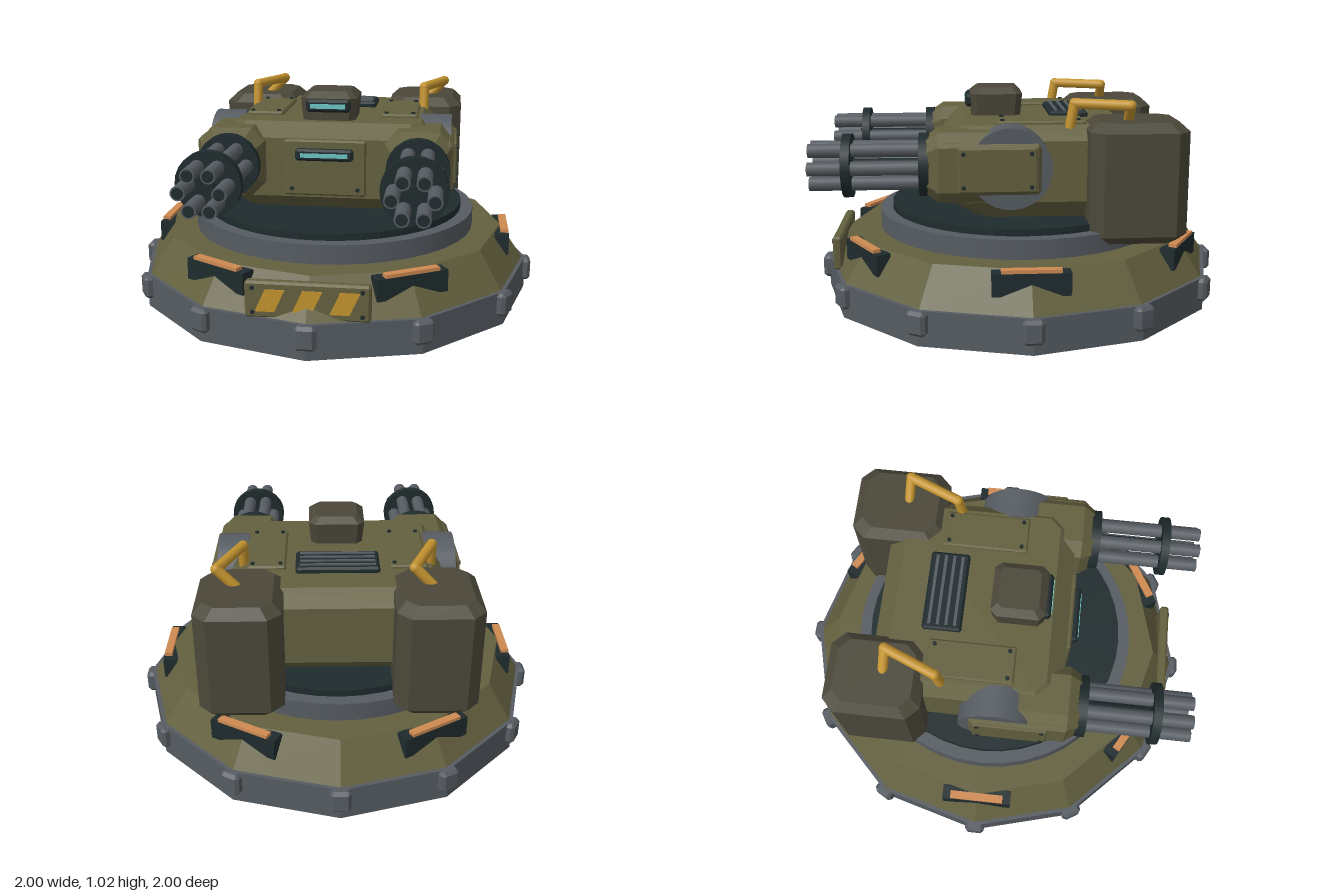
import * as THREE from 'three';
import { ConvexGeometry } from 'three/addons/geometries/ConvexGeometry.js';

const mat = (name, color) => {
  const m = new THREE.MeshStandardMaterial({ color });
  m.name = name;
  return m;
};

// Solid lofted through octagonal rings: [y, x0, x1, z0, z1, corner cut]
function loft(rings) {
  const pts = [];
  for (const [y, x0, x1, z0, z1, c] of rings) {
    for (const [x, z] of [[x0 + c, z0], [x1 - c, z0], [x1, z0 + c], [x1, z1 - c],
      [x1 - c, z1], [x0 + c, z1], [x0, z1 - c], [x0, z0 + c]]) pts.push(new THREE.Vector3(x, y, z));
  }
  return new ConvexGeometry(pts);
}

// Box with every edge bevelled
function bevelBox(w, h, d, c) {
  const pts = [];
  for (const sx of [-1, 1]) for (const sy of [-1, 1]) for (const sz of [-1, 1]) {
    const x = w / 2, y = h / 2, z = d / 2;
    pts.push(new THREE.Vector3(sx * x, sy * (y - c), sz * (z - c)),
      new THREE.Vector3(sx * (x - c), sy * y, sz * (z - c)),
      new THREE.Vector3(sx * (x - c), sy * (y - c), sz * z));
  }
  return new ConvexGeometry(pts);
}

export function createModel() {
  const root = new THREE.Group();
  const olive = mat('olive armour', 0x63603f);
  const drab = mat('dark drab', 0x4b483a);
  const steel = mat('steel', 0x565c62);
  const dark = mat('dark metal', 0x1f2b2d);
  const amber = mat('amber light', 0xcf8a52);
  const yellow = mat('safety yellow', 0xc3932f);
  const cyan = mat('cyan glass', 0x6cc4c4);

  const add = (name, geo, material, x = 0, y = 0, z = 0, parent = root) => {
    const m = new THREE.Mesh(geo, material);
    m.name = name;
    m.position.set(x, y, z);
    parent.add(m);
    return m;
  };
  const box = (w, h, d) => new THREE.BoxGeometry(w, h, d);
  const faceted = (r1, r2, h) => {
    const g = new THREE.CylinderGeometry(r1, r2, h, 12).toNonIndexed();
    g.computeVertexNormals();
    return g;
  };
  const rivet = new THREE.CylinderGeometry(0.01, 0.01, 0.01, 8);
  const rivetZ = rivet.clone().rotateX(Math.PI / 2);
  const rivetX = rivet.clone().rotateZ(Math.PI / 2);

  // Twelve-sided base and turntable
  add('baseRim', faceted(0.975, 0.975, 0.16), steel, 0, 0.08, 0);
  add('baseSkirt', faceted(0.84, 0.957, 0.17), olive, 0, 0.245, 0);
  add('turntableRing', new THREE.CylinderGeometry(0.7, 0.7, 0.09, 40), steel, 0, 0.375, 0);
  add('turntableTop', new THREE.CylinderGeometry(0.64, 0.64, 0.035, 40), dark, 0, 0.435, 0);

  // Lugs on each corner, lamps on every other corner
  const lug = bevelBox(0.095, 0.11, 0.06, 0.015);
  for (let i = 0; i < 12; i++) {
    const arm = new THREE.Group();
    arm.name = 'baseCorner';
    arm.rotation.y = i * Math.PI / 6;
    root.add(arm);
    add('lug', lug, steel, 0, 0.105, 0.97, arm);
    if (i % 2) {
      add('lampBracket', box(0.34, 0.1, 0.07), dark, 0, 0.275, 0.842, arm);
      add('lampBar', box(0.26, 0.022, 0.038), amber, 0, 0.33, 0.856, arm);
    }
  }

  // Hazard plate on the front of the base
  add('hazardPlate', bevelBox(0.54, 0.165, 0.045, 0.01), olive, 0, 0.24, 0.893);
  const stripe = new THREE.Shape([[-0.065, -0.05], [0.02, -0.05], [0.065, 0.05], [-0.02, 0.05]]
    .map(([x, y]) => new THREE.Vector2(x, y)));
  const stripeGeo = new THREE.ExtrudeGeometry(stripe, { depth: 0.006, bevelEnabled: false });
  for (const x of [-0.16, 0, 0.16]) add('hazardStripe', stripeGeo, yellow, x, 0.24, 0.914);
  for (const x of [-0.235, 0.235]) for (const y of [0.185, 0.295]) add('rivet', rivetZ, dark, x, y, 0.916);

  // Turret hull
  add('turretHull', loft([
    [0.452, -0.42, 0.42, -0.44, 0.22, 0.06],
    [0.54, -0.5, 0.5, -0.54, 0.36, 0.09],
    [0.82, -0.5, 0.5, -0.54, 0.36, 0.09],
    [0.885, -0.44, 0.44, -0.46, 0.28, 0.05],
  ]), olive);

  // Front plate with vision slot
  add('frontPlate', bevelBox(0.385, 0.265, 0.03, 0.008), olive, 0, 0.685, 0.365);
  add('visionSlot', bevelBox(0.27, 0.055, 0.05, 0.01), dark, 0, 0.752, 0.385);
  add('visionGlass', box(0.22, 0.02, 0.008), cyan, 0, 0.752, 0.41);
  for (const x of [-0.155, 0.155]) add('rivet', rivetZ, dark, x, 0.585, 0.382);

  // Roof grille
  add('grilleFrame', bevelBox(0.39, 0.035, 0.185, 0.01), dark, 0, 0.895, -0.23);
  for (let i = 0; i < 4; i++) add('grilleSlat', box(0.35, 0.012, 0.014), steel, 0, 0.912, -0.29 + i * 0.04);

  // Roof sensor
  add('sensorHousing', loft([
    [0.88, -0.125, 0.125, 0, 0.24, 0.03],
    [0.99, -0.135, 0.135, -0.01, 0.245, 0.03],
    [1.02, -0.1, 0.1, 0.02, 0.21, 0.02],
  ]), drab);
  add('sensorFrame', bevelBox(0.21, 0.06, 0.05, 0.012), dark, 0, 0.957, 0.243);
  add('sensorGlass', box(0.165, 0.022, 0.008), cyan, 0, 0.957, 0.268);

  // Left and right weapon stations
  const turnZ = Math.PI / 2;
  for (const s of [-1, 1]) {
    const side = new THREE.Group();
    side.name = s > 0 ? 'leftStation' : 'rightStation';
    root.add(side);

    // Roof plate with rivets
    add('roofPlate', bevelBox(0.18, 0.025, 0.41, 0.008), olive, s * 0.33, 0.888, -0.075, side);
    for (const x of [0.265, 0.395]) for (const z of [-0.25, 0.1])
      add('rivet', rivet, dark, s * x, 0.903, z, side);

    // Trunnion disc and armoured arm
    add('trunnionDisc', new THREE.CylinderGeometry(0.185, 0.185, 0.15, 32).rotateZ(turnZ),
      steel, s * 0.505, 0.71, 0.07, side);
    add('sideArm', bevelBox(0.14, 0.24, 0.48, 0.02), olive, s * 0.525, 0.71, 0.17, side);
    add('sidePlate', bevelBox(0.02, 0.2, 0.35, 0.006), olive, s * 0.598, 0.71, 0.13, side);
    for (const y of [0.635, 0.785]) for (const z of [-0.02, 0.28])
      add('rivet', rivetX, dark, s * 0.608, y, z, side);

    // Octagonal gun housing, lofted along z
    const housing = loft([
      [0.1, -0.155, 0.155, -0.16, 0.16, 0.06],
      [0.39, -0.155, 0.155, -0.16, 0.16, 0.06],
      [0.445, -0.125, 0.125, -0.125, 0.125, 0.05],
    ]).rotateX(turnZ);
    add('gunHousing', housing, olive, s * 0.435, 0.71, 0, side);

    // Six rotating barrels held by two discs
    const gun = new THREE.Group();
    gun.name = 'rotaryGun';
    gun.position.set(s * 0.435, 0.71, 0);
    side.add(gun);
    const rod = (name, r, z0, z1, m, x = 0, y = 0, n = 24) =>
      add(name, new THREE.CylinderGeometry(r, r, z1 - z0, n).rotateX(turnZ), m, x, y, (z0 + z1) / 2, gun);
    rod('rearDisc', 0.145, 0.435, 0.48, dark);
    rod('barrelClamp', 0.145, 0.78, 0.82, dark);
    rod('spindle', 0.03, 0.46, 0.84, dark);
    for (let i = 0; i < 6; i++) {
      const a = i * Math.PI / 3, x = 0.087 * Math.cos(a), y = 0.087 * Math.sin(a);
      rod('barrel', 0.032, 0.46, 0.97, steel, x, y, 14);
      rod('muzzleBore', 0.025, 0.966, 0.972, dark, x, y, 14);
    }

    // Ammunition box
    add('ammoBox', loft([
      [0.36, -0.15, 0.15, -0.185, 0.185, 0.05],
      [0.4, -0.192, 0.192, -0.225, 0.225, 0.06],
      [0.87, -0.192, 0.192, -0.225, 0.225, 0.06],
      [0.912, -0.15, 0.15, -0.18, 0.18, 0.05],
    ]), drab, s * 0.437, 0, -0.505, side);

    // Feed tube, same bend on both sides
    const path = new THREE.CurvePath();
    const p = [[0, 0.87, -0.205], [0, 0.983, -0.225], [0.1, 0.983, -0.465], [0.01, 0.89, -0.47]]
      .map(([x, y, z]) => new THREE.Vector3(x + s * 0.437, y, z));
    for (let i = 0; i < 3; i++) path.add(new THREE.LineCurve3(p[i], p[i + 1]));
    path.curves.forEach((c) => add('feedTube', new THREE.TubeGeometry(c, 1, 0.024, 12), yellow, 0, 0, 0, side));
    for (const q of [p[1], p[2]])
      add('feedElbow', new THREE.SphereGeometry(0.025, 12, 8), yellow, q.x, q.y, q.z, side);
  }
  return root;
}
